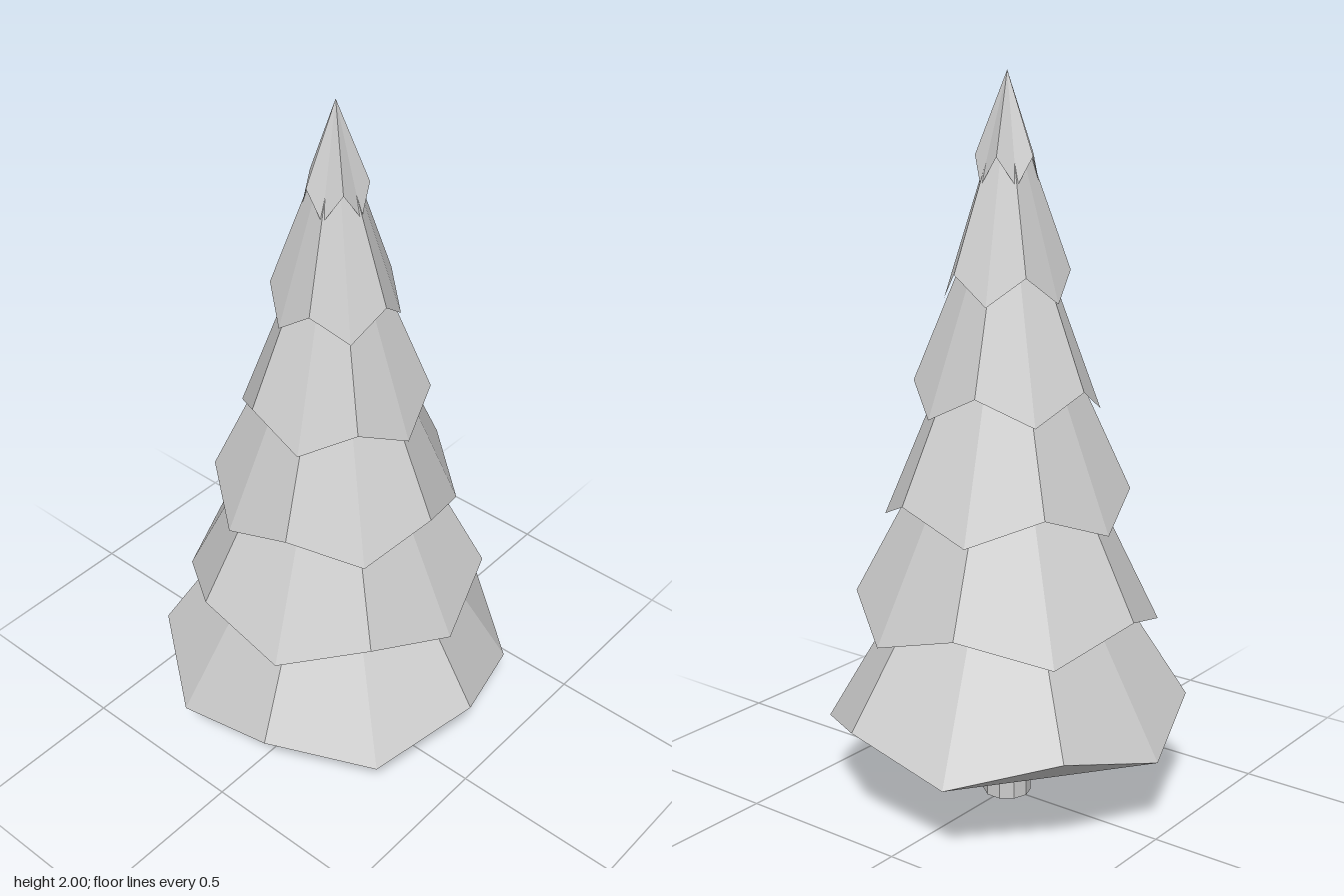
import * as THREE from 'three';

const SIDES = 10;
const RIM_WAVE = 0.038; // how far rim corners rise and dip in turn

// Rim corner of a tier, alternately high and low
function rimCorner(k, radius, rimY, phase) {
  const a = (k / SIDES) * 2 * Math.PI;
  const y = rimY + ((k + phase) % 2 === 0 ? RIM_WAVE : -RIM_WAVE);
  return [radius * Math.sin(a), y, radius * Math.cos(a)];
}

function facets(points, index) {
  const geo = new THREE.BufferGeometry();
  geo.setAttribute('position', new THREE.Float32BufferAttribute(points.flat(), 3));
  geo.setIndex(index);
  const flat = geo.toNonIndexed();
  flat.computeVertexNormals();
  return flat;
}

export function createModel() {
  const tree = new THREE.Group();
  tree.name = 'pineTree';
  const bark = new THREE.MeshStandardMaterial({ color: 0xcccccc, flatShading: true });
  const foliage = new THREE.MeshStandardMaterial({
    color: 0xcccccc, flatShading: true, side: THREE.DoubleSide,
  });
  const add = (name, geometry, material) => {
    const mesh = new THREE.Mesh(geometry, material);
    mesh.name = name;
    tree.add(mesh);
  };

  // Trunk, ending just inside the lowest tier
  const trunkHeight = 0.28;
  const trunk = new THREE.CylinderGeometry(0.067, 0.067, trunkHeight, SIDES);
  trunk.translate(0, trunkHeight / 2, 0);
  add('trunk', trunk, bark);

  // Foliage tiers: open zigzag-rimmed cones, each turned half a wave
  const apexes = [1.08, 1.38, 1.62, 1.8, 1.955, 2.0];
  apexes.forEach((apexY, i) => {
    const radius = 0.5 * (1 - i / apexes.length);
    const rimY = 0.26 + i * 0.2975;
    const points = [];
    const sides = [];
    for (let k = 0; k < SIDES; k++) {
      points.push(rimCorner(k, radius, rimY, i % 2));
      sides.push(k, (k + 1) % SIDES, SIDES);
    }
    points.push([0, apexY, 0]);
    add(`foliageTier${i + 1}`, facets(points, sides), foliage);

    // Underside of the lowest tier: folded flaps at the high corners, the rest fanned from the front
    if (i === 0) {
      const under = [0, 3, 1, 0, 5, 3, 0, 7, 5, 0, 9, 7];
      for (let k = 2; k < SIDES; k += 2) under.push(k - 1, k + 1, k);
      add('foliageUnderside', facets(points, under), foliage);
    }
  });

  return tree;
}
